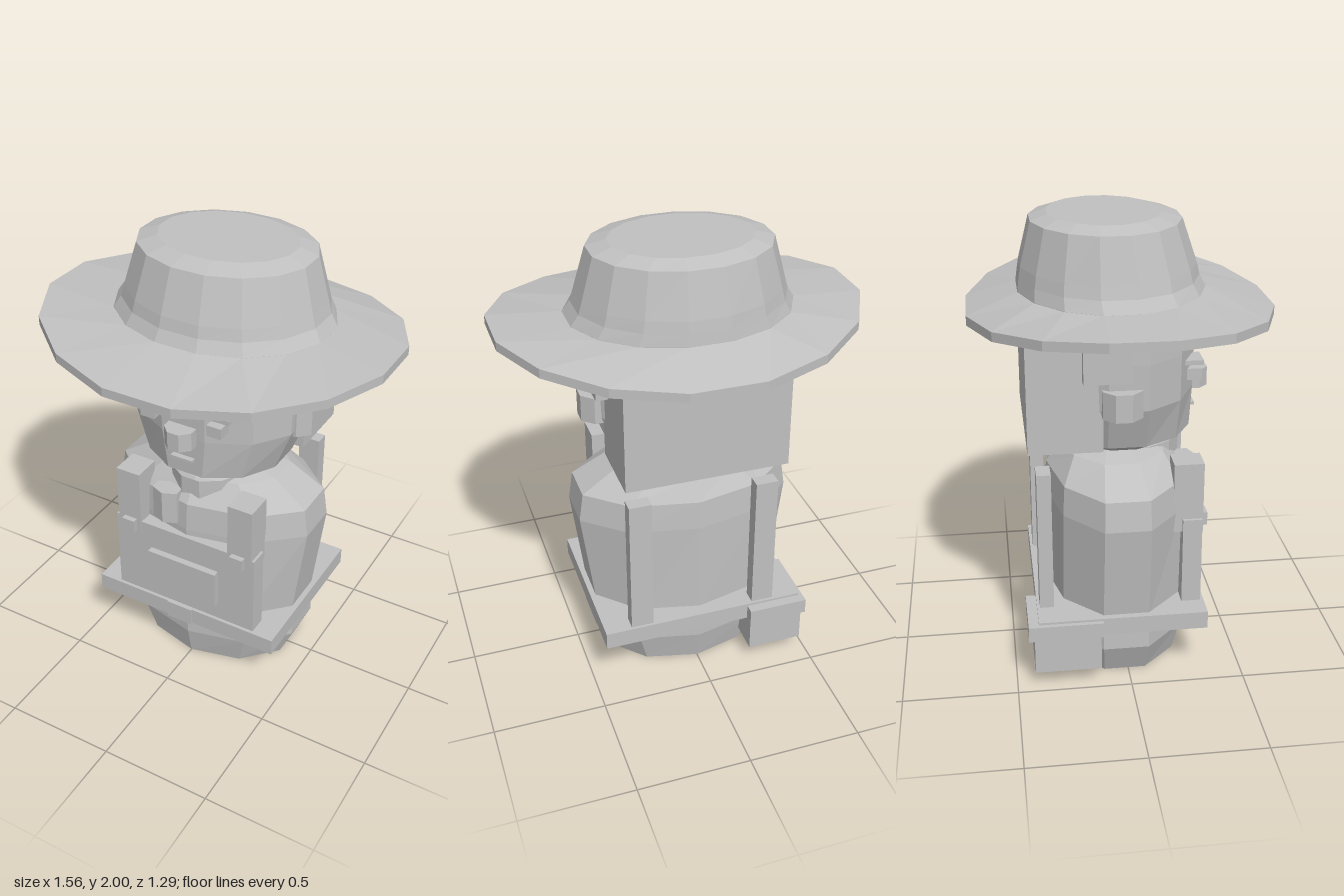
import * as THREE from 'three';

const grey = new THREE.MeshStandardMaterial({ color: 0xc0c0c0, flatShading: true, side: THREE.DoubleSide });
grey.name = 'grey';

// Faceted solid from elliptical rings [y, rx, rz, centreZ, frontBackDroop]
function loft(rings, sides, phase = 0, zigzag = 0) {
  const pos = [], idx = [];
  rings.forEach(([y, rx, rz, cz = 0, droop = 0], r) => {
    for (let i = 0; i < sides; i++) {
      const a = ((i + phase) / sides) * Math.PI * 2;
      const drop = droop * Math.cos(a) ** 2 + (r === 0 && i % 2 ? zigzag : 0);
      pos.push(rx * Math.sin(a), y - drop, cz + rz * Math.cos(a));
    }
  });
  for (let r = 0; r < rings.length - 1; r++) {
    for (let i = 0; i < sides; i++) {
      const j = (i + 1) % sides, a = r * sides + i, b = r * sides + j;
      idx.push(a, b, b + sides, a, b + sides, a + sides);
    }
  }
  const top = (rings.length - 1) * sides;
  for (let i = 1; i < sides - 1; i++) {
    idx.push(0, i + 1, i, top, top + i, top + i + 1);
  }
  const g = new THREE.BufferGeometry();
  g.setAttribute('position', new THREE.Float32BufferAttribute(pos, 3));
  g.setIndex(idx);
  const flat = g.toNonIndexed();
  flat.computeVertexNormals();
  return flat;
}

export function createModel() {
  const model = new THREE.Group();
  const add = (name, geometry) => {
    const m = new THREE.Mesh(geometry, grey);
    m.name = name;
    model.add(m);
    return m;
  };
  // Box given by its limits on each axis
  const box = (name, x0, x1, y0, y1, z0, z1) => {
    const m = add(name, new THREE.BoxGeometry(x1 - x0, y1 - y0, z1 - z0));
    m.position.set((x0 + x1) / 2, (y0 + y1) / 2, (z0 + z1) / 2);
    return m;
  };
  const pair = (name, x0, x1, ...rest) => {
    box(name + 'Left', x0, x1, ...rest);
    box(name + 'Right', -x1, -x0, ...rest);
  };

  // Body
  add('body', loft([
    [0, 0.39, 0.295, -0.015], [0.145, 0.455, 0.325, -0.015], [0.3, 0.45, 0.325, -0.015],
    [0.75, 0.51, 0.32, -0.015], [0.88, 0.49, 0.31, -0.015], [0.98, 0.32, 0.24, -0.02],
    [1.01, 0.2, 0.17, -0.02],
  ], 10));

  // Belt and pouch
  box('belt', -0.46, 0.455, 0.24, 0.32, -0.4, 0.34);
  box('buckle', -0.085, 0.042, 0.235, 0.322, 0.33, 0.348);
  box('pouch', -0.47, -0.22, 0.075, 0.25, -0.42, -0.13);
  box('pouchFlap', -0.48, -0.21, 0.24, 0.31, -0.445, -0.12);

  // Bib, pocket, straps and buttons
  box('bib', -0.355, 0.352, 0.32, 0.72, 0.24, 0.325);
  box('bibPocket', -0.175, 0.172, 0.405, 0.592, 0.31, 0.355);
  pair('frontStrap', 0.222, 0.34, 0.66, 0.978, 0.2, 0.33);
  pair('backStrap', 0.235, 0.335, 0.32, 0.96, -0.387, -0.325);
  pair('button', 0.245, 0.308, 0.67, 0.73, 0.31, 0.355);

  // Neckerchief: open band with a hanging knot
  const band = add('neckerchief', new THREE.CylinderGeometry(0.2, 0.2, 0.11, 7, 1, true, -Math.PI / 2, Math.PI));
  band.scale.z = 1.35;
  band.position.y = 0.945;
  const knot = add('knot', new THREE.CylinderGeometry(0.07, 0.07, 0.16, 6));
  knot.scale.z = 0.7;
  knot.position.set(-0.108, 0.845, 0.28);

  // Head
  add('head', loft([
    [1.0, 0.21, 0.21], [1.06, 0.325, 0.315], [1.25, 0.4, 0.323],
    [1.45, 0.405, 0.325], [1.66, 0.4, 0.32],
  ], 12, 0.5));

  // Hair: fringe, back block, upper tuft and sideburns
  add('fringe', loft([[1.585, 0.412, 0.336], [1.67, 0.412, 0.336]], 20, 0.5, 0.06));
  box('backHair', -0.36, 0.356, 1.066, 1.545, -0.42, -0.105);
  box('upperHair', -0.33, 0.33, 1.53, 1.645, -0.36, -0.03);
  pair('sideburn', 0.34, 0.408, 1.38, 1.54, -0.19, 0.01);

  // Ears
  for (const s of [-1, 1]) {
    const ear = add(s > 0 ? 'earLeft' : 'earRight', new THREE.CylinderGeometry(0.09, 0.09, 0.12, 8));
    ear.rotation.y = Math.PI / 8;
    ear.position.set(s * 0.36, 1.285, -0.028);
  }

  // Face
  pair('brow', 0.118, 0.23, 1.385, 1.405, 0.25, 0.335);
  pair('eye', 0.125, 0.193, 1.305, 1.356, 0.25, 0.335);
  const nose = add('nose', new THREE.CylinderGeometry(0.071, 0.071, 0.085, 8));
  nose.rotation.y = Math.PI / 8;
  nose.position.set(-0.002, 1.262, 0.325);
  box('mouth', -0.053, 0.052, 1.137, 1.15, 0.28, 0.332);

  // Hat: brim drooping at front and back, and a tapered crown
  add('hatBrim', loft([
    [1.655, 0.42, 0.36, -0.033], [1.642, 0.797, 0.657, 0, 0.073],
    [1.682, 0.797, 0.657, 0, 0.073], [1.69, 0.48, 0.4, -0.033],
  ], 16, 0.5));
  add('hatCrown', loft([
    [1.67, 0.488, 0.402, -0.035], [1.69, 0.488, 0.402, -0.035], [1.74, 0.455, 0.385, -0.045],
    [1.79, 0.44, 0.375, -0.047], [1.975, 0.388, 0.32, -0.055], [2.0, 0.305, 0.24, -0.062],
  ], 16, 0.5));

  return model;
}
